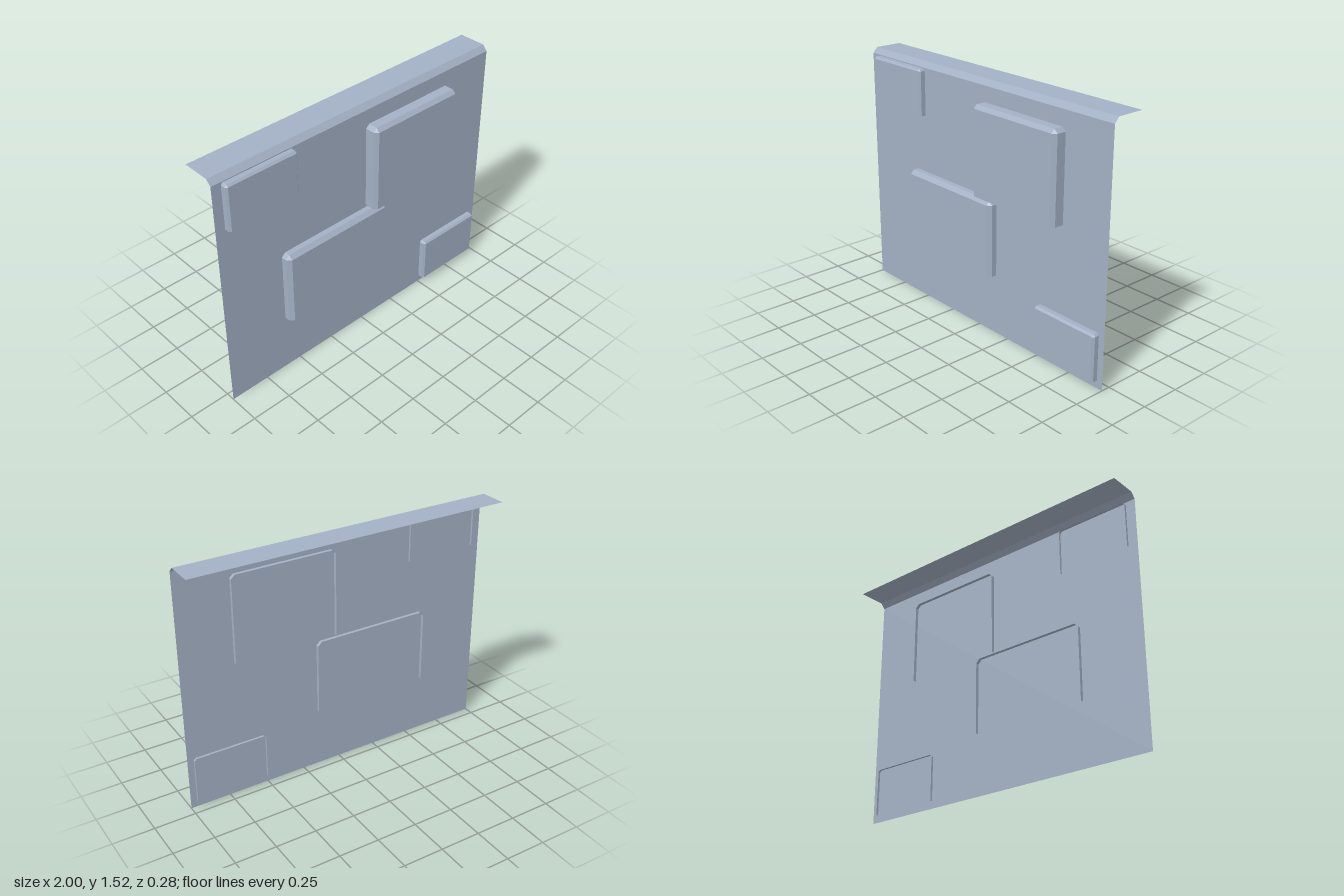
import * as THREE from 'three';

// Flat-faced open sheet from a list of 3- or 4-cornered faces (counter-clockwise from outside)
function sheet(faces) {
  const pos = [];
  for (const f of faces) {
    for (let i = 1; i < f.length - 1; i++) pos.push(...f[0], ...f[i], ...f[i + 1]);
  }
  const g = new THREE.BufferGeometry();
  g.setAttribute('position', new THREE.Float32BufferAttribute(pos, 3));
  g.computeVertexNormals();
  return g;
}

// Raised panel, open at the back and bottom, bevelled along the sides and top
function raisedPanel(x0, x1, y0, y1, zBack, zFront, c) {
  // Outline up the left side, over the top and down the right side
  const outline = [[x0, y0], [x0, y1 - c], [x0 + c, y1], [x1 - c, y1], [x1, y1 - c], [x1, y0]];
  // Matching points on the front face
  const a = x0 + c, b = x1 - c, t = y1 - c;
  const inner = [[a, y0], [a, t], [a, t], [b, t], [b, t], [b, y0]];
  const zMid = zFront - c;
  const faces = [[[a, y0, zFront], [b, y0, zFront], [b, t, zFront], [a, t, zFront]]];
  for (let i = 0; i < 5; i++) {
    const p = outline[i], q = outline[i + 1], u = inner[i], v = inner[i + 1];
    faces.push([[...p, zBack], [...p, zMid], [...q, zMid], [...q, zBack]]);
    const bevel = [[...p, zMid], [...u, zFront], [...v, zFront], [...q, zMid]];
    if (i % 2 === 1) bevel.splice(2, 1); // corners close with a triangle
    faces.push(bevel);
  }
  return sheet(faces);
}

export function createModel() {
  const model = new THREE.Group();
  model.name = 'wallPanel';
  const steel = new THREE.MeshStandardMaterial({ color: 0xa3b0c4, side: THREE.DoubleSide });
  steel.name = 'blueGreySteel';

  const add = (name, geometry) => {
    const mesh = new THREE.Mesh(geometry, steel);
    mesh.name = name;
    model.add(mesh);
  };

  // Wall sheet, bevelled edge and top ledge: profile as [y, z]
  const profile = [[0, 0.056], [1.488, 0.056], [1.52, 0.027], [1.52, -0.142]];
  ['wallSheet', 'topBevel', 'topLedge'].forEach((name, i) => {
    const [p, q] = [profile[i], profile[i + 1]];
    add(name, sheet([[[-1, ...p], [1, ...p], [1, ...q], [-1, ...q]]]));
  });

  // Raised panels whose rims pass slightly through the sheet
  add('upperLeftSmallPanel', raisedPanel(-0.94, -0.484, 1.198, 1.482, 0.042, 0.097, 0.012));
  add('upperLargePanel', raisedPanel(0.028, 0.674, 0.859, 1.394, 0.035, 0.136, 0.022));
  add('lowerLargePanel', raisedPanel(-0.595, 0.15, 0.376, 0.843, 0.036, 0.113, 0.024));
  add('lowerRightSmallPanel', raisedPanel(0.506, 0.961, 0.046, 0.332, 0.042, 0.097, 0.012));

  return model;
}
